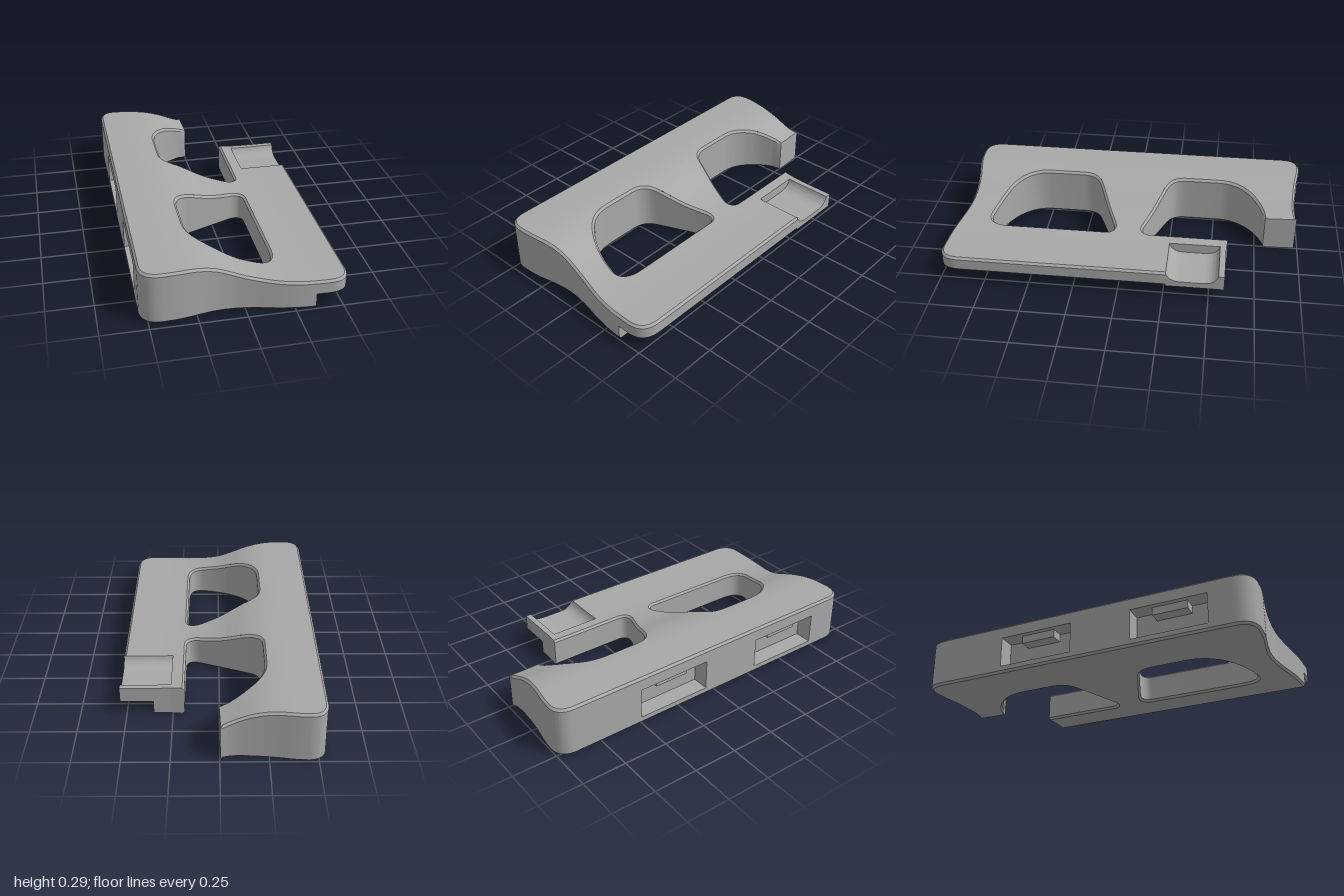
import * as THREE from 'three';
import { toCreasedNormals } from 'three/addons/utils/BufferGeometryUtils.js';

const BAND = 0.05, BEVEL = 0.012;
const V = (x, z) => new THREE.Vector2(x, z);

// Height of the top surface, sampled every 0.05 from x = -0.4
const HEIGHTS = [0.29, 0.29, 0.288, 0.283, 0.273, 0.259, 0.239, 0.218, 0.2, 0.188, 0.178, 0.171, 0.166, 0.163, 0.161, 0.16];
function topAt(x) {
  const t = THREE.MathUtils.clamp((x + 0.4) / BAND, 0, HEIGHTS.length - 1.001);
  const i = Math.floor(t);
  return THREE.MathUtils.lerp(HEIGHTS[i], HEIGHTS[i + 1], t - i);
}

// Edges that stay square: joints between parts and the cut end faces
function isSquare(a, b) {
  const x = (a.x + b.x) / 2, z = (a.y + b.y) / 2;
  return Math.abs(x - 0.355) < 0.001 && Math.abs(a.x - b.x) < 0.001
    || x > 0.255 && z < -0.26 && z > -0.56 && x < 0.53
    || x < -0.43 && x > -0.535 && z > -0.6 && z < 0.8
    || Math.abs(x) < 0.012 && z < -0.79 && Math.abs(a.x - b.x) < 0.01
    || z < -0.575 && x > 0.19;
}

// Clean a loop, set its winding, and split it at the height bands
function prepare(points, ccw) {
  let pts = points.filter((p, i) => p.distanceTo(points[(i + 1) % points.length]) > 0.0005);
  if ((THREE.ShapeUtils.area(pts) > 0) !== ccw) pts = pts.reverse();
  const out = [];
  pts.forEach((a, i) => {
    const b = pts[(i + 1) % pts.length];
    const cuts = [0];
    for (let k = -11; k <= 11; k++) {
      const t = (k * BAND - a.x) / (b.x - a.x);
      if (t > 0.02 && t < 0.98) cuts.push(t);
    }
    cuts.sort((p, q) => p - q).forEach(t => out.push(a.clone().lerp(b, t)));
  });
  return out;
}

// Loop moved inward by the bevel, leaving square edges in place
function inset(pts) {
  const n = pts.length;
  const edge = i => {
    const a = pts[i], b = pts[(i + 1) % n], d = b.clone().sub(a).normalize();
    return { x: d.y, z: -d.x, w: isSquare(a, b) ? 0 : -BEVEL };
  };
  return pts.map((p, i) => {
    const e = edge((i + n - 1) % n), f = edge(i);
    const det = e.x * f.z - e.z * f.x;
    if (Math.abs(det) < 0.1) return V(p.x + f.x * (e.w + f.w) / 2, p.y + f.z * (e.w + f.w) / 2);
    return V(p.x + (e.w * f.z - f.w * e.z) / det, p.y + (e.x * f.w - f.x * e.w) / det);
  });
}

function clip(poly, x, sign) {
  const out = [];
  poly.forEach((a, i) => {
    const b = poly[(i + 1) % poly.length];
    const da = (a.x - x) * sign, db = (b.x - x) * sign;
    if (da >= 0) out.push(a);
    if (da * db < 0) out.push(a.clone().lerp(b, da / (da - db)));
  });
  return out;
}

// Solid from a plan, with a flat base and the curved top
function planSolid(shape, base) {
  const plan = shape.extractPoints(10);
  const loops = [prepare(plan.shape, true), ...plan.holes.map(h => prepare(h, false))];
  const inner = loops.map(inset);
  const pos = [];
  const tri = (...v) => v.forEach(p => pos.push(...p));

  // Side walls with a narrow bevel above and below
  loops.forEach((loop, l) => {
    const rings = loop.map((p, i) => {
      const q = inner[l][i];
      return [[q.x, base, q.y], [p.x, base + BEVEL, p.y], [p.x, topAt(p.x) - BEVEL, p.y], [q.x, topAt(q.x), q.y]];
    });
    rings.forEach((a, i) => {
      const b = rings[(i + 1) % rings.length];
      for (let k = 0; k < 3; k++) {
        tri(a[k], a[k + 1], b[k + 1]);
        tri(a[k], b[k + 1], b[k]);
      }
    });
  });

  // Underside, and top sliced into bands that follow the height
  const all = inner.flat();
  for (const f of THREE.ShapeUtils.triangulateShape(inner[0], inner.slice(1))) {
    let t = f.map(i => all[i]);
    if (THREE.ShapeUtils.area(t) < 0) t = t.reverse();
    tri(...t.map(p => [p.x, base, p.y]));
    const xs = t.map(p => p.x);
    for (let k = Math.floor(Math.min(...xs) / BAND); k * BAND < Math.max(...xs); k++) {
      const poly = clip(clip(t, k * BAND, 1), (k + 1) * BAND, -1);
      const up = poly.map(p => [p.x, topAt(p.x), p.y]);
      for (let i = 1; i < up.length - 1; i++) tri(up[0], up[i + 1], up[i]);
    }
  }
  const g = new THREE.BufferGeometry();
  g.setAttribute('position', new THREE.Float32BufferAttribute(pos, 3));
  return toCreasedNormals(g, 0.5);
}

export function createModel() {
  const model = new THREE.Group();
  model.name = 'bracket';
  const grey = new THREE.MeshStandardMaterial({ color: 0xa8a8a8 });
  grey.name = 'grey';
  const add = (name, geometry) => {
    const mesh = new THREE.Mesh(geometry, grey);
    mesh.name = name;
    model.add(mesh);
  };
  // Bar with an x-y profile running from z0 to z1
  const bar = (name, profile, z0, z1) => {
    const shape = new THREE.Shape(profile.map(p => V(...p)));
    add(name, new THREE.ExtrudeGeometry(shape, { depth: z1 - z0, bevelEnabled: false }).translate(0, 0, z0));
  };
  const box = (name, x0, x1, y0, y1, z0, z1) => bar(name, [[x0, y0], [x1, y0], [x1, y1], [x0, y1]], z0, z1);

  // Main plate, drawn in x and z
  const slots = [[-0.5, -0.065], [0.29, 0.725]], L = -0.54, D = -0.44;
  const body = new THREE.Shape();
  body.moveTo(L, -0.9);
  body.bezierCurveTo(L, -0.96, -0.51, -1, -0.45, -1);
  body.splineThru([V(-0.38, -0.995), V(-0.25, -0.975), V(-0.12, -0.965), V(-0.05, -0.968), V(-0.004, -0.98)]);
  body.lineTo(0.003, -0.8);
  body.bezierCurveTo(-0.15, -0.75, -0.242, -0.64, -0.242, -0.53);
  body.lineTo(-0.242, -0.33);
  body.bezierCurveTo(-0.242, -0.26, -0.21, -0.235, -0.16, -0.215);
  body.lineTo(0.11, -0.11);
  body.bezierCurveTo(0.15, -0.092, 0.187, -0.105, 0.187, -0.15);
  body.lineTo(0.187, -0.592);
  for (const p of [[0.27, -0.584], [0.355, -0.583], [0.355, -0.55], [0.26, -0.55], [0.26, -0.265], [0.355, -0.265], [0.355, 0.995]]) body.lineTo(...p);
  body.splineThru([V(0.28, 0.99), V(0.18, 0.975), V(0.03, 0.942), V(-0.08, 0.929), V(-0.18, 0.934), V(-0.33, 0.96), V(-0.43, 0.966)]);
  body.bezierCurveTo(-0.5, 0.966, L, 0.93, L, 0.86);
  for (const [z0, z1] of [...slots].reverse()) {
    for (const p of [[L, z1], [D, z1], [D, z0], [L, z0]]) body.lineTo(...p);
  }

  // Closed opening through the front half
  const hole = new THREE.Path();
  hole.moveTo(-0.242, 0.5);
  hole.lineTo(-0.242, 0.3);
  hole.bezierCurveTo(-0.242, 0.23, -0.21, 0.2, -0.16, 0.18);
  hole.lineTo(0.11, 0.07);
  hole.bezierCurveTo(0.15, 0.055, 0.187, 0.065, 0.187, 0.11);
  hole.lineTo(0.187, 0.67);
  hole.bezierCurveTo(0.187, 0.76, 0.15, 0.79, 0.1, 0.782);
  hole.bezierCurveTo(-0.1, 0.745, -0.242, 0.65, -0.242, 0.5);
  body.holes.push(hole);
  add('mainPlate', planSolid(body, 0));

  // Thin overhanging rail along the low side
  const lip = new THREE.Shape();
  lip.moveTo(0.355, -0.265);
  lip.lineTo(0.535, -0.265);
  lip.lineTo(0.535, 0.88);
  lip.bezierCurveTo(0.535, 0.96, 0.5, 0.995, 0.43, 0.997);
  lip.lineTo(0.355, 0.995);
  add('overhangRail', planSolid(lip, 0.075));
  box('railEnd', 0.355, 0.535, 0.075, 0.16, -0.583, -0.55);

  // Scooped rest near the end of the rail
  const scoop = (base, x0, x1) => {
    const s = new THREE.Shape();
    s.moveTo(0.265, base);
    s.lineTo(0.55, base);
    s.lineTo(0.55, 0.16);
    s.bezierCurveTo(0.54, 0.125, 0.51, 0.108, 0.47, 0.108);
    s.lineTo(0.345, 0.108);
    s.bezierCurveTo(0.305, 0.108, 0.275, 0.125, 0.265, 0.16);
    const g = new THREE.ExtrudeGeometry(s, { depth: x1 - x0, bevelEnabled: false, curveSegments: 10 });
    add('scoopedRest', toCreasedNormals(g.rotateY(Math.PI / 2).translate(x0, 0, 0), 0.5));
  };
  scoop(0, 0.26, 0.355);
  scoop(0.075, 0.355, 0.535);

  // Walls above and below the two side slots, with a small tab inside each
  for (const [z0, z1] of slots) {
    bar('slotFloor', [[L + BEVEL, 0], [D, 0], [D, 0.04], [L, 0.04], [L, BEVEL]], z0, z1);
    bar('slotRoof', [[L, 0.215], [D, 0.215], [D, 0.29], [L + BEVEL, 0.29], [L, 0.29 - BEVEL]], z0, z1);
    const mid = (z0 + z1) / 2;
    box('slotTab', L + 0.03, D, 0.17, 0.215, mid - 0.1, mid + 0.1);
  }
  return model;
}
